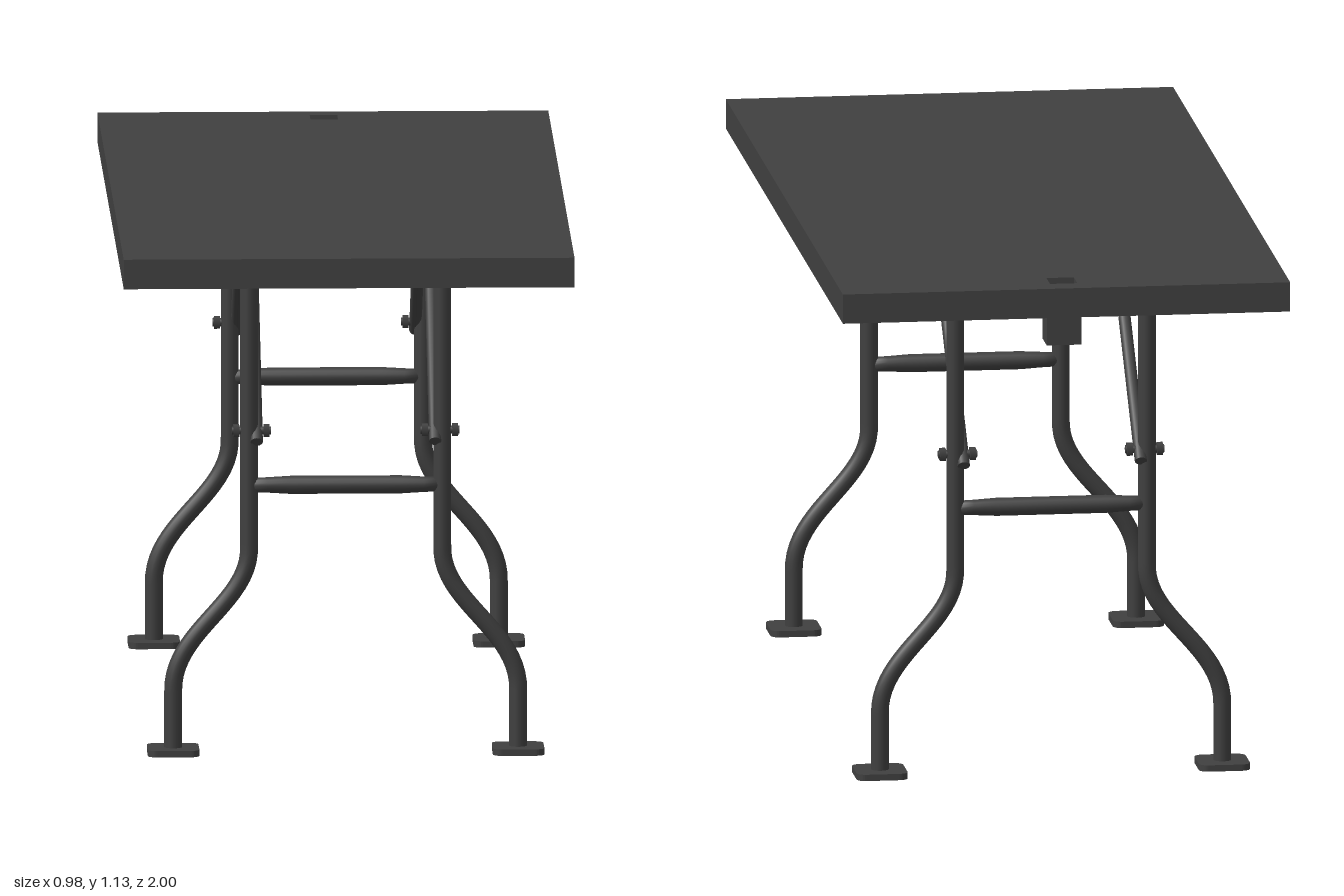
import * as THREE from 'three';

const material = new THREE.MeshStandardMaterial({ color: 0x404040 });

function add(parent, name, geometry, x = 0, y = 0, z = 0) {
  const mesh = new THREE.Mesh(geometry, material);
  mesh.name = name;
  mesh.position.set(x, y, z);
  parent.add(mesh);
  return mesh;
}

const box = (w, h, d) => new THREE.BoxGeometry(w, h, d);

// Cylinder lying along x
const rodX = (r, length, sides = 16) =>
  new THREE.CylinderGeometry(r, r, length, sides).rotateZ(Math.PI / 2);

function rectangle(w, d, cx = 0, cy = 0, target = new THREE.Shape()) {
  target.moveTo(cx - w / 2, cy - d / 2);
  target.lineTo(cx + w / 2, cy - d / 2);
  target.lineTo(cx + w / 2, cy + d / 2);
  target.lineTo(cx - w / 2, cy + d / 2);
  target.closePath();
  return target;
}

function roundedSquare(size, r) {
  const h = size / 2, s = new THREE.Shape();
  s.absarc(h - r, h - r, r, 0, Math.PI / 2);
  s.absarc(r - h, h - r, r, Math.PI / 2, Math.PI);
  s.absarc(r - h, r - h, r, Math.PI, Math.PI * 1.5);
  s.absarc(h - r, r - h, r, Math.PI * 1.5, Math.PI * 2);
  return s;
}

// Horizontal slab from a plan shape (shape y becomes -z)
const slab = (shape, height) =>
  new THREE.ExtrudeGeometry(shape, { depth: height, bevelEnabled: false, curveSegments: 4 }).rotateX(-Math.PI / 2);

function createTop() {
  const top = new THREE.Group();
  top.name = 'tableTop';
  const panel = rectangle(0.98, 2);
  panel.holes.push(rectangle(0.06, 0.06, 0, 0.92, new THREE.Path()));
  add(top, 'panel', slab(panel, 0.025), 0, 1.105, 0);

  // Rim around the hollow underside
  const rim = rectangle(0.98, 2);
  rim.holes.push(rectangle(0.93, 1.95, 0, 0, new THREE.Path()));
  add(top, 'rim', slab(rim, 0.04), 0, 1.065, 0);

  for (const z of [-0.735, 0, 0.735])
    add(top, 'crossRib', box(0.93, 0.028, 0.035), 0, 1.091, z);

  // Open square socket under the hole
  const socket = rectangle(0.076, 0.076, 0, 0.92);
  socket.holes.push(rectangle(0.06, 0.06, 0, 0.92, new THREE.Path()));
  add(top, 'socket', slab(socket, 0.11), 0, 0.995, 0);
  return top;
}

// Hinge cheek with a slanted lower edge, length along z
function cheek(length, height) {
  const h = length / 2, s = new THREE.Shape();
  s.moveTo(-h, 0);
  s.lineTo(-h, -height * 0.6);
  s.lineTo(-h + 0.015, -height);
  s.lineTo(h - 0.015, -height);
  s.lineTo(h, -height * 0.6);
  s.lineTo(h, 0);
  return new THREE.ExtrudeGeometry(s, { depth: 0.008, bevelEnabled: false })
    .translate(0, 0, -0.004).rotateY(Math.PI / 2);
}

// One side of a leg frame; side is +1 or -1
function createLegSide(side) {
  const g = new THREE.Group();
  g.name = side > 0 ? 'leftLeg' : 'rightLeg';
  const v = (x, y, z = 0) => new THREE.Vector3(x * side, y, z);

  // Bent tube leg
  const path = new THREE.CurvePath();
  path.add(new THREE.LineCurve3(v(0.21, 1.078), v(0.21, 0.45)));
  path.add(new THREE.CubicBezierCurve3(v(0.21, 0.45), v(0.21, 0.33), v(0.375, 0.27), v(0.375, 0.14)));
  path.add(new THREE.LineCurve3(v(0.375, 0.14), v(0.375, 0.005)));
  add(g, 'legTube', new THREE.TubeGeometry(path, 60, 0.0195, 16));

  // Foot plate
  add(g, 'foot', slab(roundedSquare(0.112, 0.02), 0.014), 0.375 * side, 0, 0);

  // Upper hinge
  for (const dx of [-0.027, 0.027])
    add(g, 'hingeCheek', cheek(0.115, 0.07), (0.21 + dx) * side, 1.105, 0);
  add(g, 'hingePlate', box(0.085, 0.006, 0.115), 0.21 * side, 1.08, 0);
  add(g, 'hingeBolt', rodX(0.012, 0.085, 8), 0.21 * side, 1.047, 0);

  // Diagonal brace and its pivot bolt
  const low = v(0.194, 0.688, 0.022), high = v(0.194, 1.075, -0.395);
  add(g, 'brace', new THREE.TubeGeometry(new THREE.LineCurve3(low, high), 1, 0.0135, 12));
  for (const [end, sign] of [[low, -1], [high, 1]]) {
    const cap = add(g, 'braceEnd', new THREE.CircleGeometry(0.0135, 12), end.x, end.y, end.z);
    const dir = high.clone().sub(low).multiplyScalar(sign).normalize();
    cap.quaternion.setFromUnitVectors(new THREE.Vector3(0, 0, 1), dir);
  }
  add(g, 'pivotBolt', rodX(0.009, 0.085, 10), 0.205 * side, 0.71, 0);
  for (const x of [0.172, 0.238])
    add(g, 'boltHead', rodX(0.015, 0.013, 6), x * side, 0.71, 0);

  // Brace bracket under the top
  for (const x of [0.172, 0.218])
    add(g, 'bracketCheek', cheek(0.115, 0.052), x * side, 1.105, -0.365);
  add(g, 'bracketFlange', box(0.06, 0.006, 0.05), 0.25 * side, 1.061, -0.365);
  return g;
}

function createLegFrame() {
  const frame = new THREE.Group();
  frame.name = 'legFrame';
  for (const side of [-1, 1]) frame.add(createLegSide(side));

  // Stretcher with narrowed ends
  const profile = [[0, -0.2], [0.016, -0.2], [0.017, -0.17], [0.02, -0.12],
    [0.02, 0.12], [0.017, 0.17], [0.016, 0.2], [0, 0.2]].map(p => new THREE.Vector2(...p));
  add(frame, 'stretcher', new THREE.LatheGeometry(profile, 16).rotateZ(Math.PI / 2), 0, 0.59, 0);

  // Bars joining the two brace brackets
  for (const z of [-0.335, -0.395])
    add(frame, 'bracketBar', box(0.4, 0.012, 0.012), 0, 1.078, z);
  return frame;
}

export function createModel() {
  const model = new THREE.Group();
  model.name = 'foldingTable';
  model.add(createTop());
  for (const end of [1, -1]) {
    const frame = createLegFrame();
    frame.name = end > 0 ? 'frontLegFrame' : 'backLegFrame';
    frame.position.z = 0.735 * end;
    if (end < 0) frame.rotation.y = Math.PI;
    model.add(frame);
  }
  return model;
}
